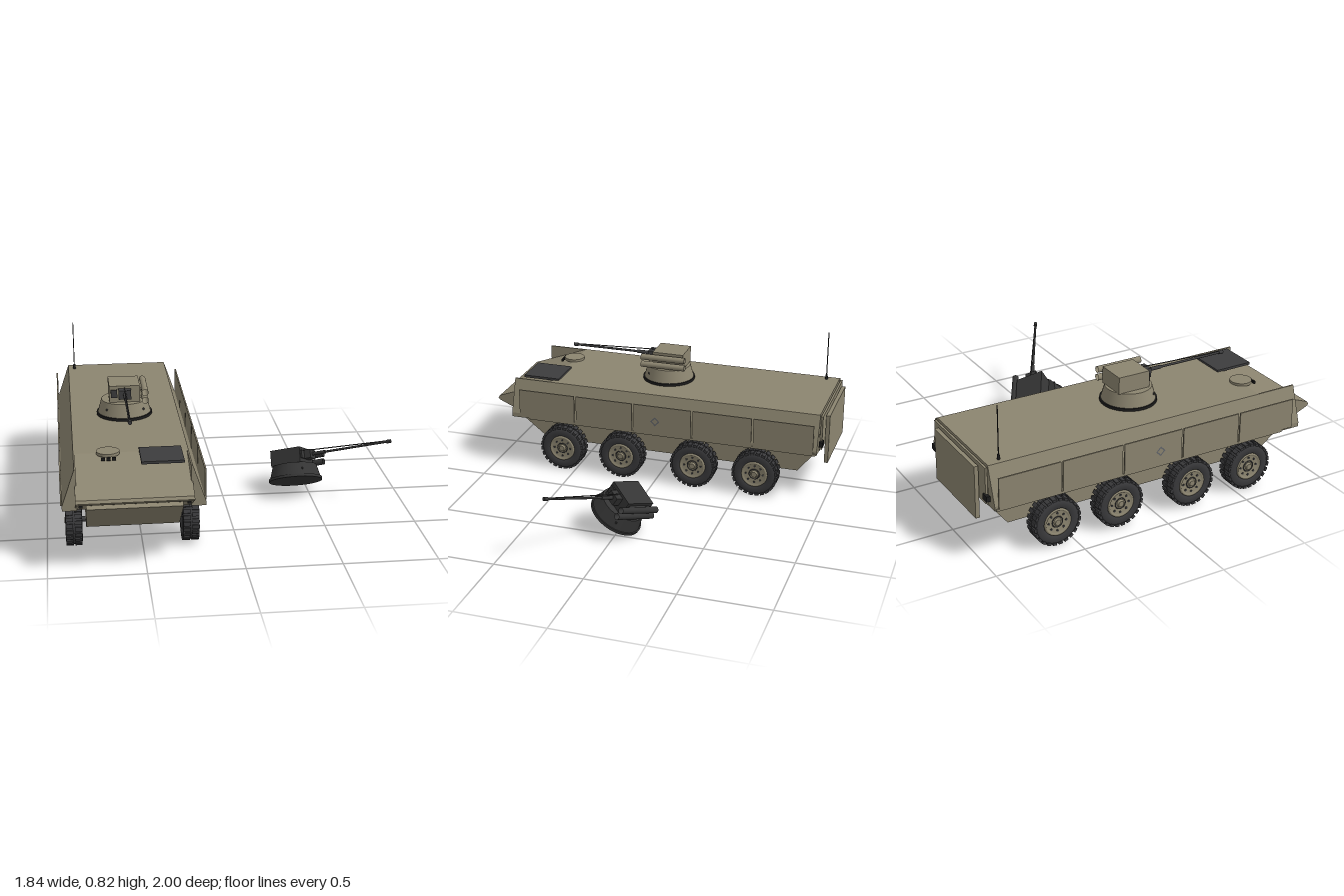
import * as THREE from 'three';
import { mergeGeometries } from 'three/addons/utils/BufferGeometryUtils.js';

const mat = (name, color, side = THREE.FrontSide) => {
  const m = new THREE.MeshStandardMaterial({ color, side });
  m.name = name;
  return m;
};

export function createModel() {
  const tan = mat('hullTan', 0x8c8570, THREE.DoubleSide);
  const rubber = mat('tyreRubber', 0x3a3a3c);
  const grey = mat('darkGrey', 0x3d3d3e);
  const black = mat('black', 0x1c1c1c);
  const charred = mat('charred', 0x353535, THREE.DoubleSide);
  const steel = mat('markingGrey', 0x62656a, THREE.DoubleSide);

  const add = (parent, name, geo, m, x = 0, y = 0, z = 0) => {
    const mesh = new THREE.Mesh(geo, m);
    mesh.name = name;
    mesh.position.set(x, y, z);
    parent.add(mesh);
    return mesh;
  };
  const box = (w, h, d) => new THREE.BoxGeometry(w, h, d);
  const cyl = (r1, r2, h, n = 24, open = false) => new THREE.CylinderGeometry(r1, r2, h, n, 1, open);
  const shape = (pts) => new THREE.Shape(pts.map((p) => new THREE.Vector2(p[0], p[1])));
  // Side profile given as [z, y], extruded across the width
  const profile = (pts, width) =>
    new THREE.ExtrudeGeometry(shape(pts), { depth: width, bevelEnabled: false })
      .translate(0, 0, -width / 2).rotateY(-Math.PI / 2);
  // Thin rod between two points
  const rod = (parent, name, a, b, r, m, n = 10) => {
    const p = new THREE.Vector3(...a), q = new THREE.Vector3(...b);
    const mesh = add(parent, name, cyl(r, r, p.distanceTo(q), n), m);
    mesh.position.copy(p).add(q).multiplyScalar(0.5);
    mesh.quaternion.setFromUnitVectors(new THREE.Vector3(0, 1, 0), q.sub(p).normalize());
    return mesh;
  };

  // Turret with its origin at the centre of the ring, gun along +z
  const makeTurret = (name, body, dark, ringMat) => {
    const t = new THREE.Group();
    t.name = name;
    add(t, 'turretRing', cyl(0.153, 0.153, 0.015, 40), ringMat, 0, 0.0075, 0);
    add(t, 'turretBase', cyl(0.126, 0.146, 0.073, 40), body, 0, 0.051, 0);
    add(t, 'turretHousing', box(0.168, 0.095, 0.185), body, 0, 0.132, -0.015);
    add(t, 'gunMantlet', box(0.068, 0.05, 0.045), dark, 0, 0.14, 0.098);
    add(t, 'gunSight', box(0.035, 0.045, 0.012), dark, -0.058, 0.137, 0.08);
    rod(t, 'gunBarrel', [0, 0.142, 0.11], [0, 0.142, 0.6], 0.0065, dark, 12);
    rod(t, 'barrelSleeve', [0, 0.142, 0.11], [0, 0.142, 0.2], 0.01, dark, 12);
    rod(t, 'muzzle', [0, 0.142, 0.575], [0, 0.142, 0.6], 0.0105, dark, 12);
    rod(t, 'barrelStay', [0, 0.168, 0.07], [0, 0.147, 0.57], 0.003, dark, 6);
    // Launch tubes carried on the left side
    for (const y of [0.155, 0.11]) {
      add(t, 'launchTube', cyl(0.018, 0.018, 0.265, 20, true).rotateX(Math.PI / 2), body, 0.11, y, 0.005);
      add(t, 'tubeBracket', box(0.012, 0.016, 0.14), body, 0.088, y, -0.01);
    }
    for (const s of [-1, 1]) add(t, 'baseBolt', cyl(0.006, 0.006, 0.006, 10).rotateX(Math.PI / 2), dark, s * 0.1, 0.05, 0.094);
    return t;
  };

  const model = new THREE.Group();
  model.name = 'armouredVehicleScene';
  const vehicle = new THREE.Group();
  vehicle.name = 'vehicle';
  vehicle.position.x = -0.553;
  model.add(vehicle);

  // Hull: upper body with sloping nose, narrower lower body
  add(vehicle, 'upperHull', profile([[-0.96, 0.31], [0.87, 0.31], [0.9, 0.34], [0.99, 0.378],
    [1, 0.39], [0.99, 0.405], [0.655, 0.53], [-0.955, 0.53]], 0.592), tan);
  add(vehicle, 'lowerHull', profile([[-0.83, 0.147], [0.71, 0.147], [0.965, 0.345], [0.9, 0.36],
    [-0.958, 0.36], [-0.958, 0.31]], 0.484), tan);

  for (const s of [-1, 1]) {
    // Sloping side sponson, rising as a fin beside the nose
    const sponson = new THREE.ExtrudeGeometry(
      shape([[s * 0.288, 0.53], [s * 0.296, 0.53], [s * 0.363, 0.335], [s * 0.363, 0.31], [s * 0.288, 0.31]]),
      { depth: 1.842, bevelEnabled: false });
    add(vehicle, 'sideSponson', sponson, tan, 0, 0, -0.957);
    // Armour panels
    for (let i = 0; i < 5; i++)
      add(vehicle, 'sidePanel', box(0.008, 0.168, 0.345), tan, s * 0.366, 0.404, 0.66 - i * 0.356);
    add(vehicle, 'lowerRail', box(0.008, 0.013, 1.72), tan, s * 0.364, 0.313, -0.09);
    const mark = add(vehicle, 'diamondMark', new THREE.RingGeometry(0.018, 0.028, 4), steel, s * 0.372, 0.395, -0.01);
    mark.rotation.y = s * Math.PI / 2;
    add(vehicle, 'tailLight', box(0.045, 0.03, 0.02), black, s * 0.3, 0.36, -0.97);
    add(vehicle, 'headlight', box(0.018, 0.014, 0.01), black, s * 0.27, 0.365, 0.965);
  }

  // Rear ramp
  add(vehicle, 'rearFrame', box(0.59, 0.2, 0.012), tan, 0, 0.42, -0.966);
  add(vehicle, 'rearRamp', box(0.466, 0.29, 0.022), tan, 0, 0.36, -0.989);

  // Deck fittings
  add(vehicle, 'engineGrille', box(0.218, 0.014, 0.218), grey, 0.151, 0.534, 0.732);
  add(vehicle, 'driverHatch', cyl(0.06, 0.06, 0.016, 32), tan, -0.119, 0.536, 0.663);
  for (const i of [-1, 0, 1]) add(vehicle, 'periscope', box(0.02, 0.016, 0.01), black, -0.119 + i * 0.028, 0.523, 0.732);
  add(vehicle, 'antennaBase', cyl(0.006, 0.009, 0.03, 12), black, -0.26, 0.543, -0.88);
  rod(vehicle, 'antenna', [-0.26, 0.53, -0.88], [-0.26, 0.822, -0.88], 0.003, black, 6);

  // Wheel geometry, axis along x with the outer face at +x
  const tyreProfile = [[0, -0.036], [0.07, -0.036], [0.08, -0.044], [0.112, -0.044], [0.127, -0.034],
    [0.127, 0.034], [0.112, 0.044], [0.08, 0.044], [0.074, 0.03], [0, 0.03]];
  const tyreGeo = new THREE.LatheGeometry(tyreProfile.map((p) => new THREE.Vector2(...p)), 40).rotateZ(-Math.PI / 2);
  const blocks = [], bolts = [];
  for (let i = 0; i < 24; i++)
    for (const s of [-1, 1])
      blocks.push(box(0.038, 0.014, 0.022).translate(s * 0.023, 0.127, 0)
        .rotateX(((i + (s > 0 ? 0.5 : 0)) / 24) * Math.PI * 2));
  for (let i = 0; i < 8; i++)
    bolts.push(cyl(0.006, 0.006, 0.006, 8).rotateZ(Math.PI / 2).translate(0.038, 0.05, 0).rotateX((i / 8) * Math.PI * 2));
  const treadGeo = mergeGeometries(blocks);
  const boltGeo = mergeGeometries(bolts);
  const rimProfile = [[0, 0.036], [0.06, 0.036], [0.066, 0.044], [0.075, 0.044], [0.078, 0.03]];
  const rimGeo = new THREE.LatheGeometry(rimProfile.reverse().map((p) => new THREE.Vector2(...p)), 32).rotateZ(-Math.PI / 2);

  for (const z of [0.578, 0.209, -0.23, -0.6]) {
    rod(vehicle, 'axle', [-0.29, 0.138, z], [0.29, 0.138, z], 0.014, grey, 12);
    for (const s of [-1, 1]) {
      const wheel = new THREE.Group();
      wheel.name = 'wheel';
      wheel.position.set(s * 0.305, 0.135, z);
      if (s < 0) wheel.rotation.y = Math.PI;
      add(wheel, 'tyre', tyreGeo, rubber);
      add(wheel, 'tread', treadGeo, rubber);
      add(wheel, 'rim', rimGeo, tan);
      add(wheel, 'wheelBolts', boltGeo, grey);
      add(wheel, 'hubRing', new THREE.TorusGeometry(0.03, 0.003, 6, 24).rotateY(Math.PI / 2), grey, 0.037);
      add(wheel, 'hub', cyl(0.016, 0.022, 0.012, 20).rotateZ(-Math.PI / 2), tan, 0.041);
      vehicle.add(wheel);
    }
  }

  // Mounted turret
  const turret = makeTurret('turret', tan, grey, black);
  turret.position.set(0, 0.53, 0.018);
  vehicle.add(turret);

  // Burnt turret lying on the ground beside the vehicle
  const wreck = makeTurret('wreckedTurret', charred, charred, charred);
  wreck.position.set(0.419, 0.08, 0.025);
  wreck.rotation.set(-0.55, 0.966, 0);
  model.add(wreck);

  return model;
}
